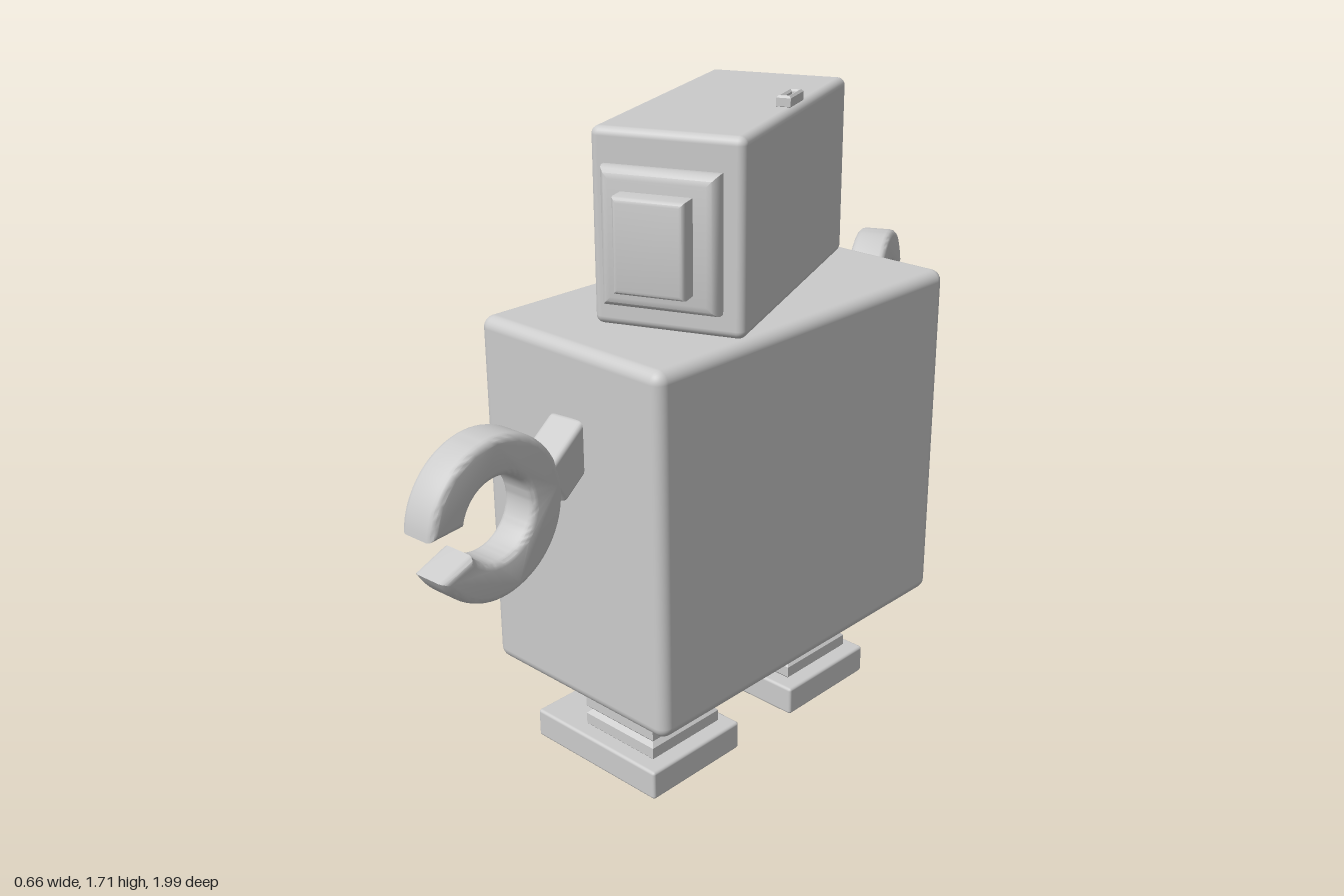
import * as THREE from 'three';
import { toCreasedNormals } from 'three/addons/utils/BufferGeometryUtils.js';
import { RoundedBoxGeometry } from 'three/addons/geometries/RoundedBoxGeometry.js';

const material = new THREE.MeshStandardMaterial({ color: 0xcccccc });

function add(parent, name, geometry, x = 0, y = 0, z = 0) {
  const mesh = new THREE.Mesh(geometry, material);
  mesh.name = name;
  mesh.position.set(x, y, z);
  parent.add(mesh);
  return mesh;
}

function addGroup(parent, name, x, y, z, turn) {
  const group = new THREE.Group();
  group.name = name;
  group.position.set(x, y, z);
  group.rotation.y = turn;
  parent.add(group);
  return group;
}

function rectangle(path, w, h, cx = 0, cy = 0) {
  path.moveTo(cx - w / 2, cy - h / 2);
  path.lineTo(cx + w / 2, cy - h / 2);
  path.lineTo(cx + w / 2, cy + h / 2);
  path.lineTo(cx - w / 2, cy + h / 2);
  path.closePath();
  return path;
}

// Extrusion from z = 0 to z = depth, bevelled inside its outline
function bevelled(shape, depth, bevel, segments = 3) {
  const geometry = new THREE.ExtrudeGeometry(shape, {
    depth: depth - 2 * bevel, bevelThickness: bevel, bevelSize: bevel,
    bevelOffset: -bevel, bevelSegments: segments, curveSegments: 32,
  });
  geometry.translate(0, 0, bevel);
  return toCreasedNormals(geometry, 0.7);
}

const plate = (w, h, depth, bevel) => bevelled(rectangle(new THREE.Shape(), w, h), depth, bevel);

// C-shaped hand opening towards local +x
function clawGeometry() {
  const outer = 0.195, inner = 0.1, thickness = 0.1;
  const a = 0.28, b = 0.4;
  const shape = new THREE.Shape();
  shape.absarc(0, 0, outer, a, Math.PI * 2 - a, false);
  shape.absarc(0, 0, inner, Math.PI * 2 - b, b, true);
  shape.closePath();
  const geometry = bevelled(shape, thickness, 0.016);
  geometry.translate(0, 0, -thickness / 2);
  return geometry;
}

function addArm(parent, name, from, to, centre, turn, tilt) {
  const arm = addGroup(parent, name, 0, 0, 0, 0);
  const start = new THREE.Vector3(...from), end = new THREE.Vector3(...to);
  const stub = add(arm, 'armStub', new RoundedBoxGeometry(0.1, 0.115, start.distanceTo(end), 2, 0.012));
  stub.position.copy(start).lerp(end, 0.5);
  stub.lookAt(end);
  const hand = addGroup(arm, 'hand', ...centre, turn);
  add(hand, 'claw', clawGeometry()).rotation.z = tilt;
}

// Square bellows leg with a flat foot
function addLeg(parent, name, z) {
  const leg = addGroup(parent, name, 0, 0, z, 0);
  add(leg, 'foot', new RoundedBoxGeometry(0.435, 0.08, 0.32, 2, 0.008), -0.033, 0.04, 0);
  const points = [];
  const r = 0.122 * Math.SQRT2, step = 0.054;
  for (let i = 0; i < 4; i++) {
    const y = 0.075 + i * step;
    points.push(new THREE.Vector2(r - 0.016, y), new THREE.Vector2(r, y + 0.012),
      new THREE.Vector2(r, y + step - 0.012));
  }
  points.push(new THREE.Vector2(r - 0.016, 0.075 + 4 * step));
  const bellows = new THREE.LatheGeometry(points, 4, Math.PI / 4);
  add(leg, 'bellows', toCreasedNormals(bellows, 0.3), 0.0225, 0, 0);
}

function addChest(parent) {
  // Local x runs along the width of the body, local z points outwards
  const chest = addGroup(parent, 'chestPanel', -0.275, 0, 0, -Math.PI / 2);
  const grille = rectangle(new THREE.Shape(), 0.93, 0.355);
  for (let i = 0; i < 6; i++) {
    grille.holes.push(rectangle(new THREE.Path(), 0.08, 0.23, (i - 2.5) * 0.131));
  }
  add(chest, 'grille', bevelled(grille, 0.065, 0.018), -0.005, 0.978, 0);
  for (let i = -1; i <= 1; i++) {
    add(chest, 'key', plate(0.305, 0.12, 0.062, 0.02), -0.005 + i * 0.312, 0.71, 0);
    add(chest, 'button', new THREE.SphereGeometry(0.105, 32, 20), -0.01 + i * 0.335, 0.515, 0)
      .scale.z = 0.3;
  }
}

function addHead(parent) {
  const height = 0.46, halfDepth = 0.184, halfWidth = 0.392;
  const head = addGroup(parent, 'head', 0.01, 1.45, -0.027, 0.39);
  add(head, 'skull', new RoundedBoxGeometry(halfDepth * 2, height, halfWidth * 2, 3, 0.02));
  add(head, 'neck', new THREE.CylinderGeometry(0.13, 0.13, 0.06, 24), 0, -0.235, 0);

  // Stepped ears on both ends
  for (const side of [1, -1]) {
    const ear = addGroup(head, side > 0 ? 'leftEar' : 'rightEar', 0, -0.005,
      side * (halfWidth - 0.005), side > 0 ? 0 : Math.PI);
    add(ear, 'earBase', plate(0.28, 0.32, 0.065, 0.025));
    add(ear, 'earCap', plate(0.17, 0.22, 0.12, 0.012));
  }

  // Face: domed eyes and nose, curved mouth
  const face = addGroup(head, 'face', -halfDepth, 0, 0, -Math.PI / 2);
  for (const side of [1, -1]) {
    add(face, 'eye', new THREE.SphereGeometry(1, 32, 20), side * 0.2, 0.075, 0)
      .scale.set(0.125, 0.12, 0.032);
  }
  add(face, 'nose', new THREE.SphereGeometry(1, 32, 20), 0, -0.03, 0).scale.set(0.078, 0.057, 0.045);
  const smile = new THREE.CatmullRomCurve3([0, 1, 2, 3, 4, 5, 6].map((i) => {
    const angle = Math.PI * (1 + i / 6);
    return new THREE.Vector3(0.145 * Math.cos(angle), -0.03 + 0.155 * Math.sin(angle), 0);
  }));
  add(face, 'mouth', new THREE.TubeGeometry(smile, 40, 0.011, 8));

  // Raised slot on the top
  const rim = rectangle(new THREE.Shape(), 0.036, 0.1);
  rim.holes.push(rectangle(new THREE.Path(), 0.012, 0.07));
  add(head, 'topSlot', bevelled(rim, 0.03, 0.005, 1), 0.155, height / 2 - 0.004, -0.005)
    .rotation.x = -Math.PI / 2;
}

export function createModel() {
  const model = new THREE.Group();
  model.name = 'toyRobot';
  add(model, 'body', new RoundedBoxGeometry(0.6, 0.93, 1.06, 4, 0.03), 0.02, 0.745, 0);
  addChest(model);
  addHead(model);
  addLeg(model, 'leftLeg', 0.27);
  addLeg(model, 'rightLeg', -0.26);
  addArm(model, 'leftArm', [0.02, 0.99, 0.5], [0.04, 0.905, 0.635],
    [0.05, 0.893, 0.805], -Math.PI / 2 + 0.05, -0.21);
  addArm(model, 'rightArm', [0.03, 0.985, -0.5], [-0.03, 0.98, -0.65],
    [-0.115, 0.98, -0.805], 2.03, 0);
  return model;
}
